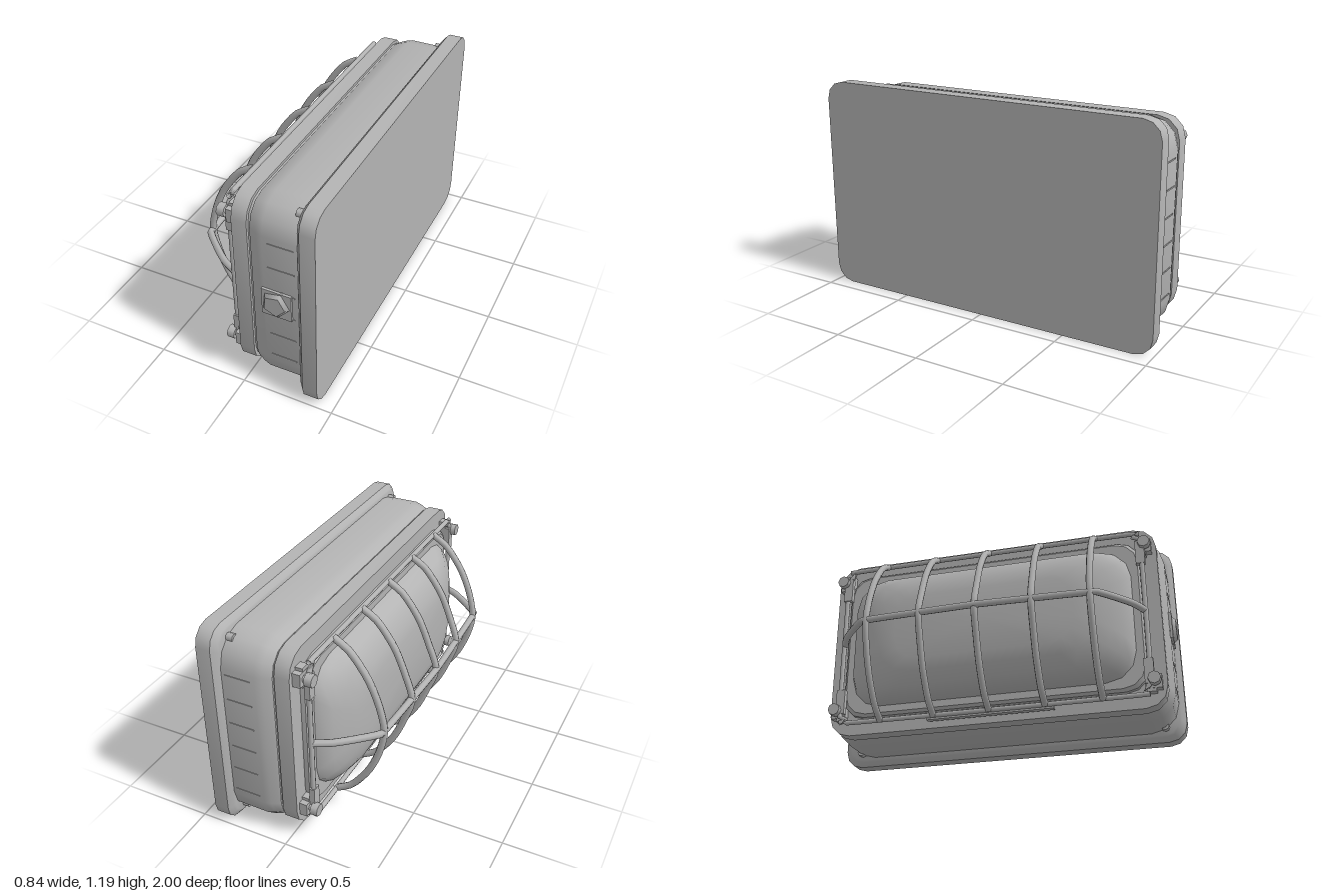
import * as THREE from 'three';
import { toCreasedNormals } from 'three/addons/utils/BufferGeometryUtils.js';

const CY = 0.595; // height of the lamp axis, which points along -x

// Rounded rectangle in the z-y plane, counter-clockwise from +z towards +y
function ring(x, hz, hy, c, seg = 3) {
  const pts = [];
  for (let q = 0; q < 4; q++) {
    const sz = q === 0 || q === 3 ? 1 : -1;
    const sy = q < 2 ? 1 : -1;
    for (let k = 0; k <= seg; k++) {
      const a = (q + k / seg) * Math.PI / 2;
      pts.push([x, CY + sy * (hy - c) + c * Math.sin(a), sz * (hz - c) + c * Math.cos(a)]);
    }
  }
  return pts;
}

// Closed body through sections [x, halfZ, halfY, cornerRadius], listed by increasing x
function loft(sections, crease = 0.6) {
  const rings = sections.map(s => ring(...s));
  const n = rings[0].length, pos = [];
  const tri = (a, b, c) => pos.push(...a, ...b, ...c);
  for (let i = 0; i < rings.length - 1; i++) {
    for (let j = 0; j < n; j++) {
      const k = (j + 1) % n, A = rings[i], B = rings[i + 1];
      tri(A[j], B[j], A[k]);
      tri(B[j], B[k], A[k]);
    }
  }
  const first = rings[0], last = rings[rings.length - 1];
  for (let j = 0; j < n; j++) {
    const k = (j + 1) % n;
    tri([first[0][0], CY, 0], first[j], first[k]);
    tri([last[0][0], CY, 0], last[k], last[j]);
  }
  const g = new THREE.BufferGeometry();
  g.setAttribute('position', new THREE.Float32BufferAttribute(pos, 3));
  return toCreasedNormals(g, crease);
}

export function createModel() {
  const model = new THREE.Group();
  model.name = 'bulkheadLamp';
  const grey = new THREE.MeshStandardMaterial({ color: 0xb4b4b4 });
  grey.name = 'grey';

  const add = (name, geometry, x = 0, y = 0, z = 0) => {
    const m = new THREE.Mesh(geometry, grey);
    m.name = name;
    m.position.set(x, y, z);
    model.add(m);
    return m;
  };
  const box = (name, sx, sy, sz, x, y, z) => add(name, new THREE.BoxGeometry(sx, sy, sz), x, y, z);
  const wire = (name, pts, r, closed = false, segs = 20) => {
    const curve = new THREE.CatmullRomCurve3(pts.map(p => new THREE.Vector3(...p)), closed, 'catmullrom', 0.4);
    return add(name, new THREE.TubeGeometry(curve, segs, r, 8, closed));
  };

  // Wall plate, housing and stepped front flange
  add('backPlate', loft([[0.313, 0.965, 0.56, 0.09], [0.318, 0.975, 0.57, 0.09],
    [0.34, 1, 0.595, 0.1], [0.42, 1, 0.595, 0.1]]));
  add('housing', loft([[0.05, 0.935, 0.52, 0.13], [0.062, 0.942, 0.527, 0.14],
    [0.095, 0.957, 0.54, 0.15], [0.13, 0.967, 0.55, 0.16], [0.32, 0.967, 0.548, 0.16]], 0.8));
  add('gasket', loft([[0.035, 0.925, 0.515, 0.12], [0.055, 0.925, 0.515, 0.12]]));
  add('flange', loft([[-0.045, 0.94, 0.53, 0.12], [0.037, 0.94, 0.53, 0.12]]));
  add('lensRim', loft([[-0.085, 0.835, 0.425, 0.12], [-0.07, 0.85, 0.44, 0.12], [-0.04, 0.85, 0.44, 0.12]]));

  // Domed lens
  add('lens', loft([[-0.24, 0.5, 0.19, 0.14], [-0.225, 0.6, 0.255, 0.18], [-0.19, 0.69, 0.325, 0.2],
    [-0.16, 0.745, 0.355, 0.2], [-0.12, 0.785, 0.378, 0.18], [-0.07, 0.8, 0.39, 0.16]], 1));

  // Wire guard: rim, cross ribs and one long bar
  wire('guardRim', ring(-0.1, 0.86, 0.475, 0.1), 0.014, true, 96);
  for (const z of [-0.615, -0.31, 0, 0.305, 0.61]) {
    const d = 0.395 - 0.05 * z * z;
    const half = [[0.1, 0.478], [0.19, 0.42], [0.285, 0.29], [0.345, 0.15]];
    const pts = half.map(([x, y]) => [-x, CY + y, z]);
    pts.push([-d, CY, z]);
    pts.push(...half.slice().reverse().map(([x, y]) => [-x, CY - y, z]));
    wire('guardRib', pts, 0.019, false, 24);
  }
  const bar = [[0.1, 0.855], [0.2, 0.8], [0.36, 0.655], [0.375, 0.6], [0.388, 0.305]];
  wire('guardBar', [
    ...bar.map(([x, z]) => [-x, CY + 0.003, -z]), [-0.398, CY + 0.003, 0],
    ...bar.slice().reverse().map(([x, z]) => [-x, CY + 0.003, z])], 0.019, false, 40);

  // Corner clamps, guard tabs and bolts
  for (const sz of [-1, 1]) {
    for (const sy of [-1, 1]) {
      box('cornerClamp', 0.095, 0.075, 0.07, -0.04, CY + sy * 0.4, sz * 0.88);
      box('clampFoot', 0.05, 0.11, 0.05, -0.06, CY + sy * 0.4, sz * 0.86);
      box('guardTab', 0.03, 0.14, 0.05, -0.1, CY + sy * 0.35, sz * 0.855);
      const shank = add('boltShank', new THREE.CylinderGeometry(0.018, 0.018, 0.1, 8), -0.085, CY + sy * 0.4, sz * 0.88);
      shank.rotation.z = Math.PI / 2;
      const head = add('boltHead', new THREE.CylinderGeometry(0.034, 0.034, 0.04, 8), -0.122, CY + sy * 0.4, sz * 0.88);
      head.rotation.z = Math.PI / 2;
      // Fixing screws behind the housing corners
      const screw = add('plateScrew', new THREE.CylinderGeometry(0.022, 0.022, 0.045, 8), 0.3, CY + sy * 0.52, sz * 0.885);
      screw.rotation.z = Math.PI / 2;
    }
    // Cooling slits on both ends
    for (let i = 0; i < 6; i++) {
      const y = 0.24 + i * 0.142;
      box('coolingSlit', 0.14, 0.007, 0.006, 0.225, y, sz * 0.967);
    }
  }

  // Lower hinge strip
  box('hingeStrip', 0.03, 0.03, 0.7, -0.085, 0.11, 0);

  // Cable entry on the +z end
  box('cableEntryPlate', 0.16, 0.155, 0.02, 0.2, 0.598, 0.97);
  const nut = add('cableEntryNut', new THREE.CylinderGeometry(0.06, 0.09, 0.035, 5), 0.195, 0.6, 0.9815);
  nut.rotation.x = Math.PI / 2;
  nut.rotation.y = 0.2;

  return model;
}
